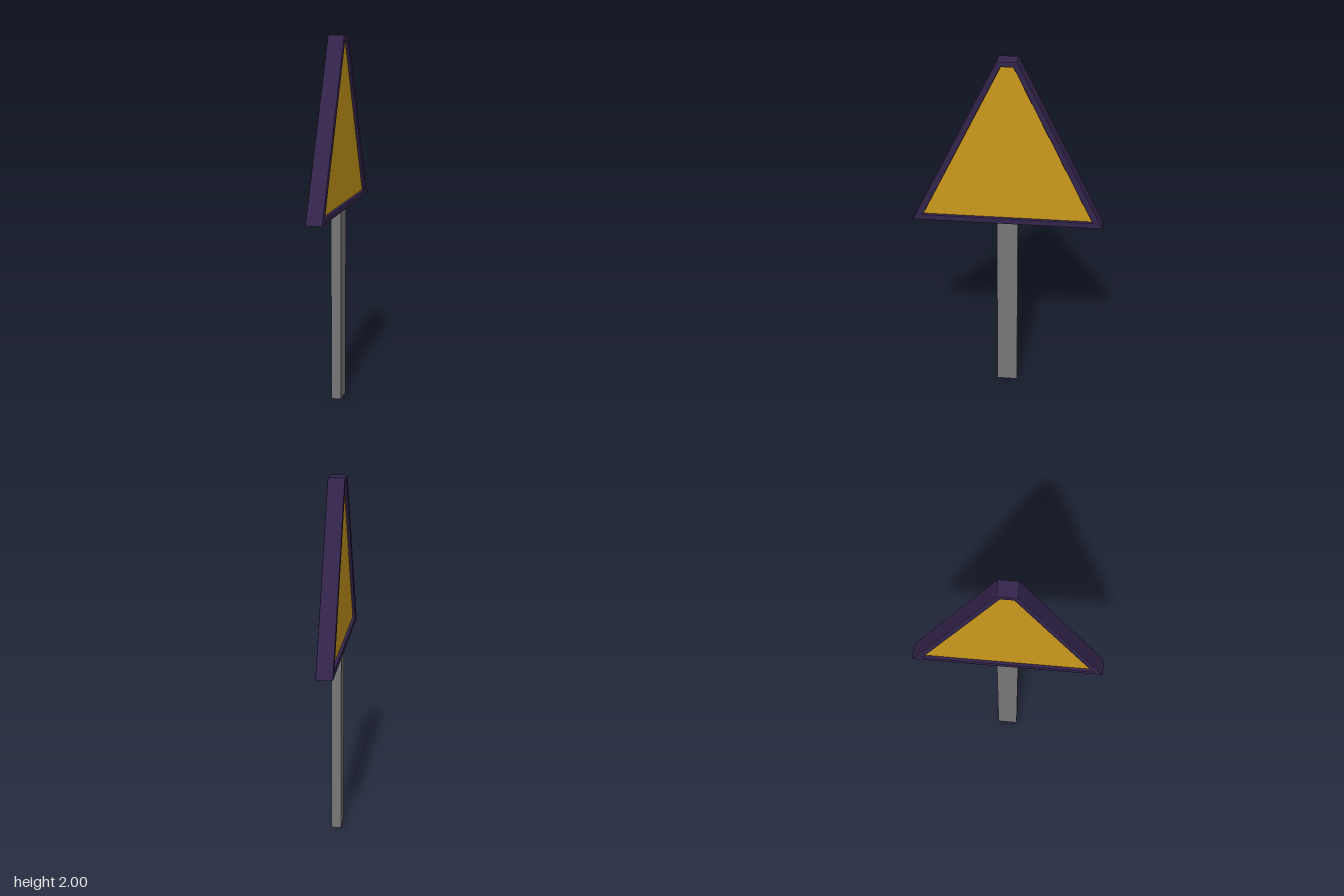
import * as THREE from 'three';

// Closed outline, mirrored about the vertical axis, from right-hand points (bottom to top)
function mirrored(points, Type) {
  const all = [...points, ...points.slice().reverse().map(([x, y]) => [-x, y])];
  return new Type(all.map(([x, y]) => new THREE.Vector2(x, y)));
}

// Extrude an outline to a slab centred on x = 0, lying in the zy plane
function slab(shape, thickness, bevel) {
  const depth = thickness - 2 * bevel;
  return new THREE.ExtrudeGeometry(shape, {
    depth, bevelEnabled: bevel > 0, bevelThickness: bevel, bevelSize: bevel,
    bevelOffset: -bevel, bevelSegments: 2,
  }).translate(0, 0, -depth / 2).rotateY(Math.PI / 2);
}

export function createModel() {
  const model = new THREE.Group();
  model.name = 'warningSign';

  const add = (name, geometry, color) => {
    const mesh = new THREE.Mesh(geometry, new THREE.MeshStandardMaterial({ color }));
    mesh.name = name;
    model.add(mesh);
    return mesh;
  };

  // Triangular rim with a clipped top and an open middle
  const inner = [[0.457, 1.103], [0.032, 1.97]];
  const rim = mirrored([[0.515, 1.07], [0.06, 1.985], [0.05, 2]], THREE.Shape);
  rim.holes.push(mirrored(inner, THREE.Path));
  add('signRim', slab(rim, 0.09, 0.006), 0x33244b);

  // Panel set back from the rim on both faces
  const panel = mirrored([[0.465, 1.098], [0.034, 1.975]], THREE.Shape);
  add('signPanel', slab(panel, 0.056, 0), 0xcc991c);

  // Flat rectangular post, ending inside the lower rim
  const post = add('post', new THREE.BoxGeometry(0.054, 1.085, 0.114), 0x777777);
  post.position.y = 0.5425;

  return model;
}
